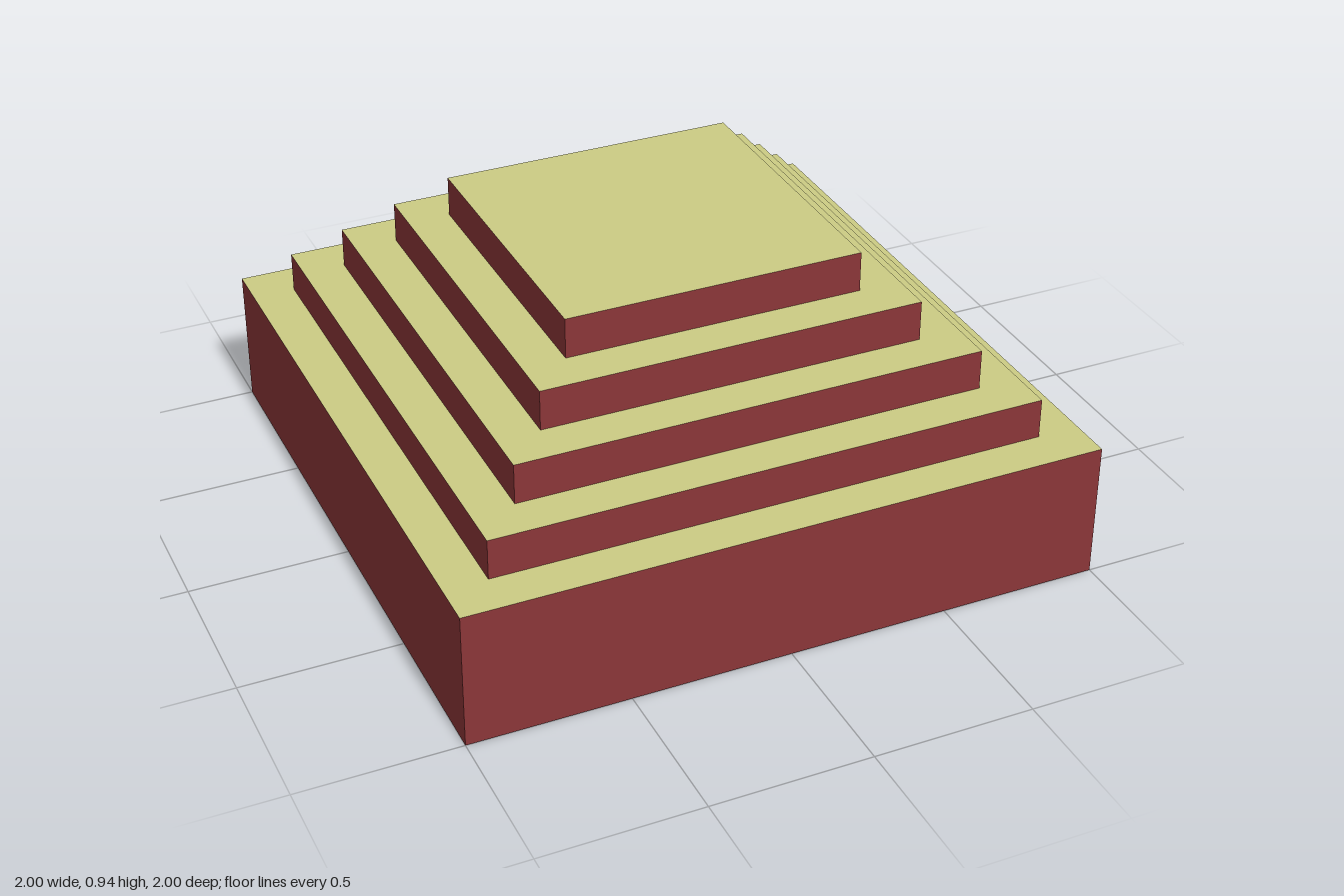
import * as THREE from 'three';

const TIERS = 5;
const BASE_HEIGHT = 0.433;
const STEP_HEIGHT = 0.1267;
const STEP_INSET = 0.1333;

// Corners of a square centred on the origin
function squarePoints(half) {
  return [[-1, -1], [1, -1], [1, 1], [-1, 1]].map(([x, y]) => new THREE.Vector2(x * half, y * half));
}

// Four upright walls, open at top and bottom
function riserGeometry(half, height) {
  return new THREE.CylinderGeometry(half * Math.SQRT2, half * Math.SQRT2, height, 4, 1, true)
    .rotateY(Math.PI / 4);
}

// Flat square facing up, with a square opening for the tier above
function treadGeometry(half, innerHalf) {
  const shape = new THREE.Shape(squarePoints(half));
  if (innerHalf > 0) shape.holes.push(new THREE.Path(squarePoints(innerHalf).reverse()));
  return new THREE.ShapeGeometry(shape).rotateX(-Math.PI / 2);
}

export function createModel() {
  const model = new THREE.Group();
  model.name = 'steppedPyramid';

  const wallMaterial = new THREE.MeshStandardMaterial({
    color: 0x8b3638, side: THREE.DoubleSide, flatShading: true,
  });
  const treadMaterial = new THREE.MeshStandardMaterial({ color: 0xcccc84, side: THREE.DoubleSide });

  // Hollow shell of tiers, open underneath
  let y = 0;
  for (let i = 0; i < TIERS; i++) {
    const half = 1 - i * STEP_INSET;
    const height = i === 0 ? BASE_HEIGHT : STEP_HEIGHT;
    const isTop = i === TIERS - 1;

    const tier = new THREE.Group();
    tier.name = i === 0 ? 'baseTier' : `tier${i + 1}`;
    tier.position.y = y;

    const walls = new THREE.Mesh(riserGeometry(half, height), wallMaterial);
    walls.name = 'walls';
    walls.position.y = height / 2;

    const tread = new THREE.Mesh(treadGeometry(half, isTop ? 0 : half - STEP_INSET), treadMaterial);
    tread.name = isTop ? 'topPlatform' : 'tread';
    tread.position.y = height;

    tier.add(walls, tread);
    model.add(tier);
    y += height;
  }
  return model;
}
